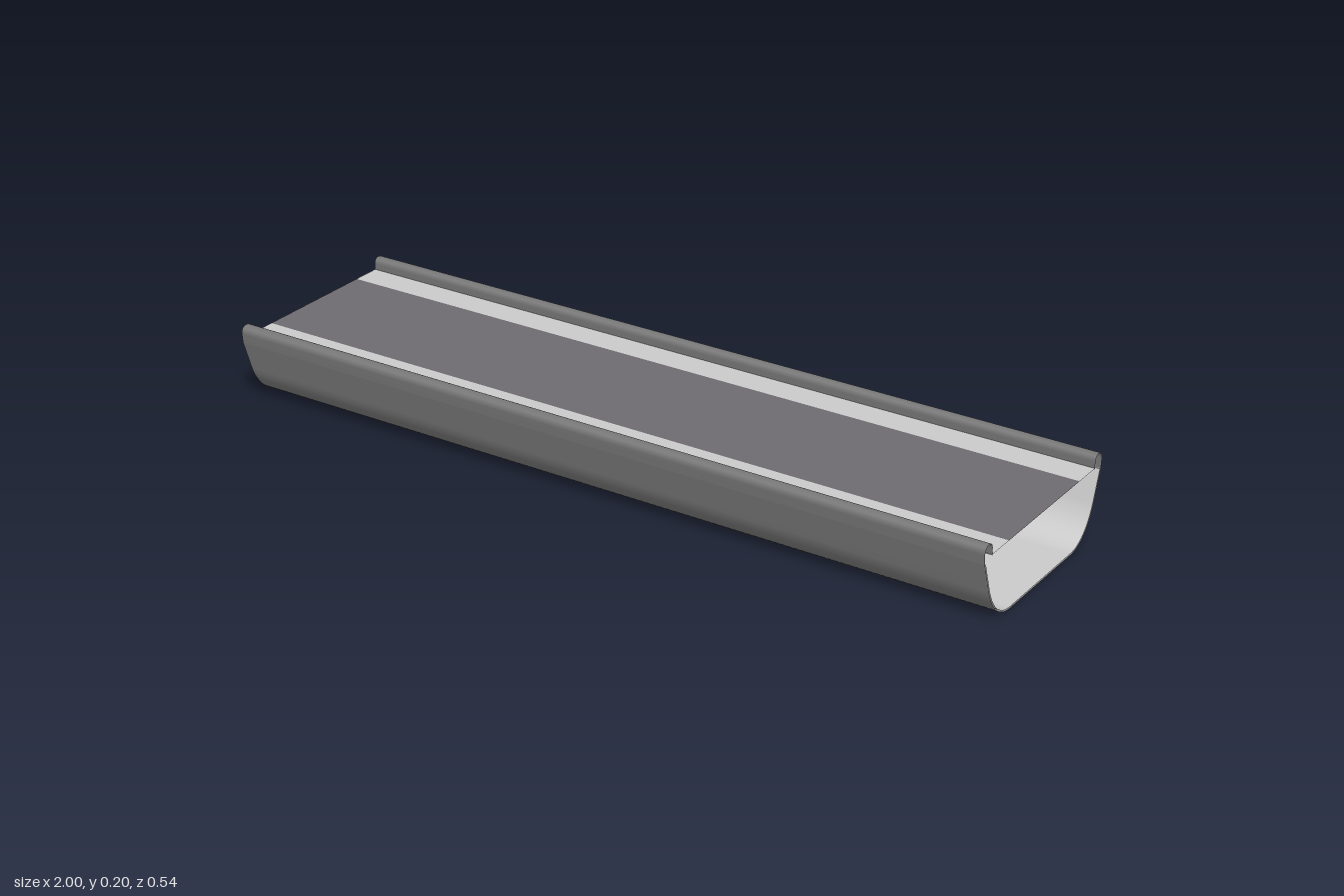
import * as THREE from 'three';

const LENGTH = 2;

// Sheet swept along x from a list of (z, y) section points
function sheet(name, points, color) {
  const g = new THREE.PlaneGeometry(LENGTH, 1, 1, points.length - 1);
  const p = g.attributes.position;
  for (let i = 0; i < p.count; i++) {
    const s = points[Math.floor(i / 2)];
    p.setXYZ(i, p.getX(i), s.y, s.x);
  }
  g.computeVertexNormals();
  const mesh = new THREE.Mesh(g, new THREE.MeshStandardMaterial({ color, side: THREE.DoubleSide }));
  mesh.name = name;
  return mesh;
}

// Half of the trough section, from the rim down to the middle of the floor
function troughSection(inset) {
  const path = new THREE.Path();
  path.moveTo(0.268 - inset, 0.16);
  path.lineTo(0.243 - inset, 0.085);
  path.bezierCurveTo(0.225 - inset, 0.035 + inset, 0.19, inset, 0.14, inset);
  path.lineTo(0, inset);
  const half = path.getPoints(12);
  const other = half.slice(0, -1).reverse().map((v) => new THREE.Vector2(-v.x, v.y));
  return half.concat(other);
}

// Rounded lip folded over the edge of the lid
function rimSection() {
  const path = new THREE.Path();
  path.moveTo(0.237, 0.17);
  path.lineTo(0.237, 0.187);
  path.quadraticCurveTo(0.238, 0.202, 0.252, 0.202);
  path.quadraticCurveTo(0.27, 0.202, 0.27, 0.184);
  path.lineTo(0.268, 0.16);
  return path.getPoints(8);
}

export function createModel() {
  const group = new THREE.Group();
  const v = (z, y) => new THREE.Vector2(z, y);

  // Open-ended trough with a light lining
  group.add(sheet('troughShell', troughSection(0), 0x858585));
  group.add(sheet('troughLining', troughSection(0.004), 0xcccccc));

  // Lid panel
  const lidY = 0.172;
  group.add(sheet('lidPanel', [v(-0.163, lidY), v(0.163, lidY)], 0x6e6c70));

  // Side strips and rims, mirrored front to back
  const rim = rimSection();
  for (const [side, s] of [['front', 1], ['back', -1]]) {
    const strip = [v(s * 0.163, lidY), v(s * 0.24, lidY)];
    const lip = rim.map((q) => v(s * q.x, q.y));
    if (s < 0) {
      strip.reverse();
      lip.reverse();
    }
    group.add(sheet(side + 'LidStrip', strip, 0xcccccc));
    group.add(sheet(side + 'Rim', lip, 0x777777));
  }
  return group;
}
